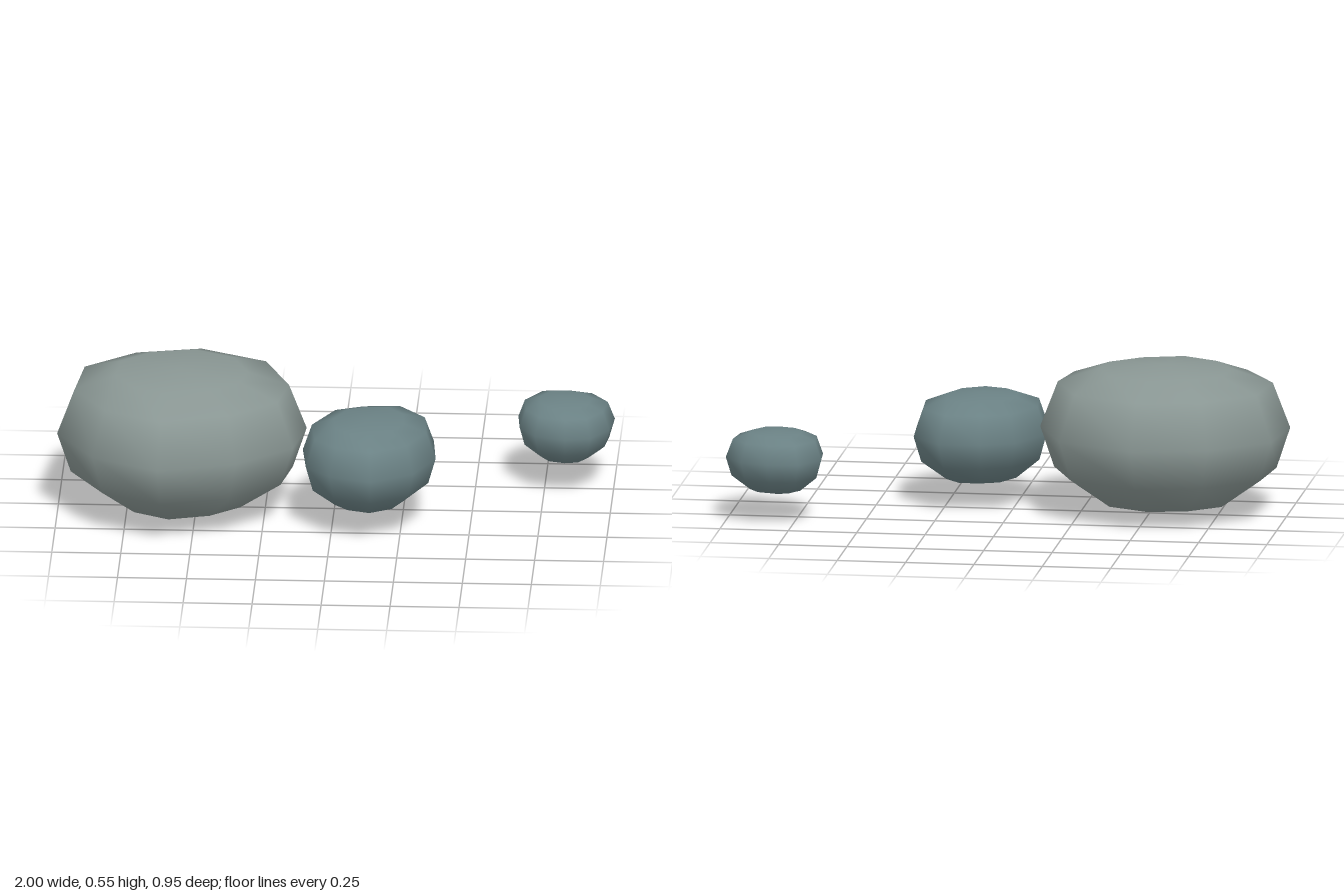
import * as THREE from 'three';

// Rings of a pebble: [share of the widest outline, share of the upper (+) or lower (-) height]
const RINGS = [
  [0.53, 0.92], [0.86, 0.70], [1, 0], [0.89, -0.48], [0.53, -0.85],
];

// A flattened pebble: the outline (counter-clockwise from above) is scaled ring by ring
function pebble(name, color, [cx, cz], [bottom, middle, top], outline) {
  const n = outline.length;
  const positions = [cx, top, cz];
  for (const [scale, h] of RINGS) {
    const y = middle + h * (h > 0 ? top - middle : middle - bottom);
    for (const [x, z] of outline) {
      positions.push(cx + (x - cx) * scale, y, cz + (z - cz) * scale);
    }
  }
  positions.push(cx, bottom, cz);

  const index = [];
  const last = 1 + RINGS.length * n;
  const at = (ring, j) => 1 + ring * n + (j % n);
  for (let j = 0; j < n; j++) {
    index.push(0, at(0, j), at(0, j + 1));
    for (let r = 0; r < RINGS.length - 1; r++) {
      const a = at(r, j), b = at(r, j + 1), c = at(r + 1, j), d = at(r + 1, j + 1);
      index.push(a, c, d, a, d, b);
    }
    index.push(last, at(RINGS.length - 1, j + 1), at(RINGS.length - 1, j));
  }

  const geometry = new THREE.BufferGeometry();
  geometry.setAttribute('position', new THREE.Float32BufferAttribute(positions, 3));
  geometry.setIndex(index);
  geometry.computeVertexNormals();
  const mesh = new THREE.Mesh(geometry, new THREE.MeshStandardMaterial({ color }));
  mesh.name = name;
  return mesh;
}

export function createModel() {
  const group = new THREE.Group();
  group.name = 'pebbles';
  group.add(
    pebble('largePebble', 0x8a9794, [-0.555, 0.03], [0, 0.31, 0.547], [
      [-0.49, -0.42], [-0.76, -0.36], [-0.97, -0.18], [-1, 0.1], [-0.86, 0.345],
      [-0.62, 0.475], [-0.34, 0.39], [-0.14, 0.215], [-0.1, 0], [-0.21, -0.28],
    ]),
    pebble('mediumPebble', 0x6b8285, [0.13, 0.14], [0.063, 0.26, 0.402], [
      [-0.09, 0.275], [0, 0.37], [0.15, 0.42], [0.3, 0.33], [0.375, 0.165],
      [0.36, -0.02], [0.25, -0.15], [0.1, -0.14], [-0.02, -0.09], [-0.11, 0.09],
    ]),
    pebble('smallPebble', 0x6b8285, [0.82, -0.3], [0.093, 0.235, 0.33], [
      [0.66, -0.24], [0.72, -0.15], [0.83, -0.115], [0.92, -0.135], [0.985, -0.23],
      [1, -0.35], [0.93, -0.45], [0.83, -0.48], [0.72, -0.47], [0.65, -0.36],
    ]),
  );
  return group;
}
